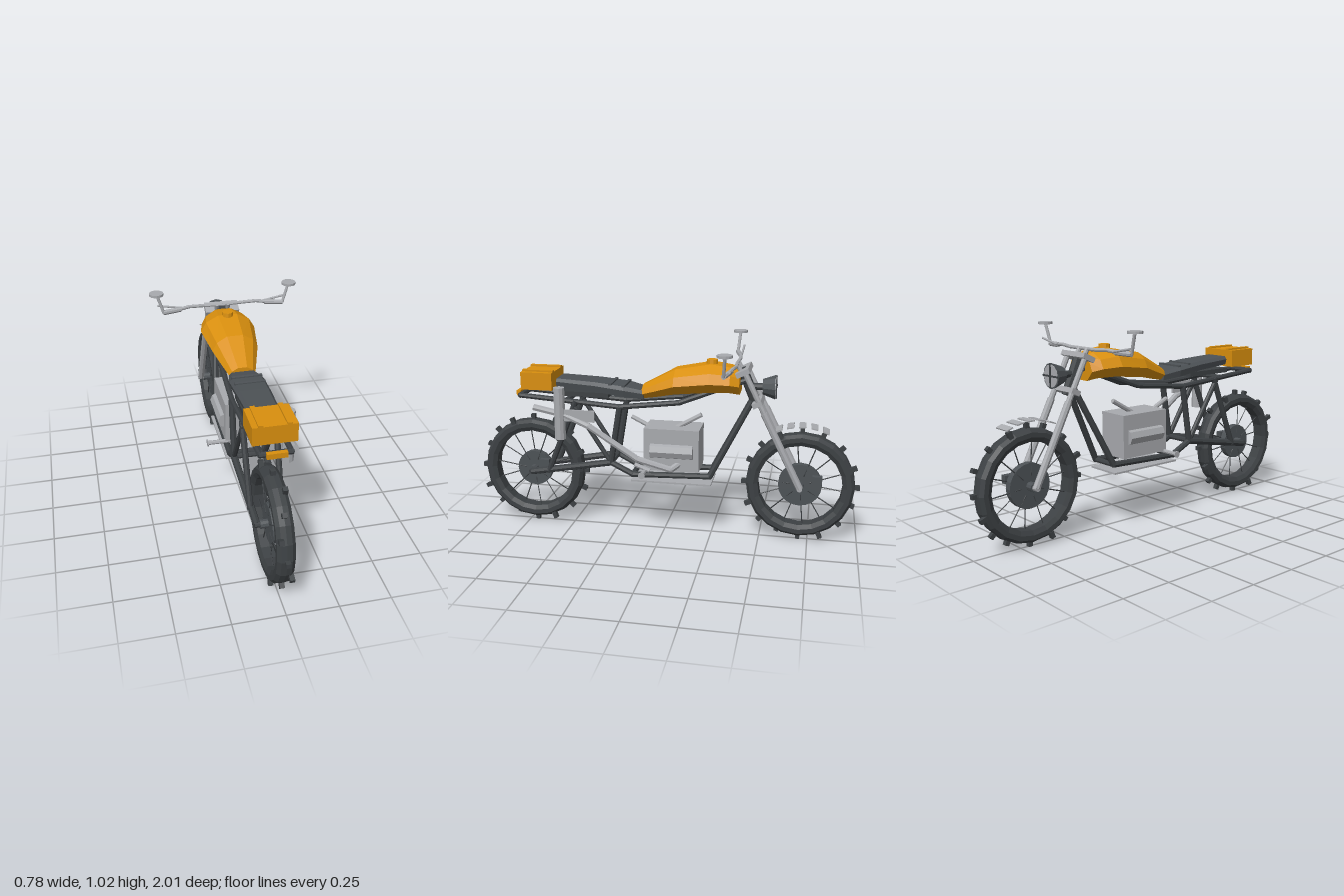
import * as THREE from 'three';

const mat = (name, color, extra = {}) => {
  const m = new THREE.MeshStandardMaterial({ color, flatShading: true, ...extra });
  m.name = name;
  return m;
};
const orange = mat('orange paint', 0xd98f0e);
const metal = mat('grey metal', 0xa8aaae);
const rubber = mat('dark rubber', 0x3d4144);
const dark = mat('dark grey', 0x4d5256);

const V = (p) => new THREE.Vector3(...p);

function add(parent, name, geo, material, pos = [0, 0, 0]) {
  const m = new THREE.Mesh(geo, material);
  m.name = name;
  m.position.set(...pos);
  parent.add(m);
  return m;
}

const box = (parent, name, size, pos, material) =>
  add(parent, name, new THREE.BoxGeometry(...size), material, pos);

// Straight bar between two points, optionally tapered
function rod(parent, name, a, b, r, material, sides = 8, r2 = r) {
  const A = V(a), B = V(b), d = B.clone().sub(A);
  const m = add(parent, name, new THREE.CylinderGeometry(r2, r, d.length(), sides), material);
  m.position.copy(A).add(B).multiplyScalar(0.5);
  m.quaternion.setFromUnitVectors(new THREE.Vector3(0, 1, 0), d.normalize());
  return m;
}

// Chain of bars with rounded joints
function path(parent, name, pts, r, material) {
  const g = new THREE.Group();
  g.name = name;
  parent.add(g);
  pts.forEach((p, i) => {
    if (i === 0) return;
    rod(g, name + 'Bar', pts[i - 1], p, r, material);
    if (i < pts.length - 1) add(g, name + 'Joint', new THREE.SphereGeometry(r, 8, 6), material, p);
  });
}

// The same chain on both sides
const pair = (parent, name, pts, r, material) => {
  for (const s of [1, -1]) path(parent, name, pts.map(([x, y, z]) => [s * x, y, z]), r, material);
};

// Body through stations [z, halfWidth, bottom, top] with a shared half profile
function loft(stations, profile) {
  const full = [...profile, ...profile.slice().reverse().map(([x, y]) => [-x, y])];
  const rings = stations.map(([z, w, lo, hi]) => full.map(([x, y]) => [x * w, lo + (hi - lo) * y, z]));
  const pos = [], n = full.length, last = rings.length - 1;
  const tri = (...p) => p.forEach((q) => pos.push(...q));
  for (let i = 0; i < last; i++)
    for (let j = 0; j < n; j++) {
      const k = (j + 1) % n;
      tri(rings[i][j], rings[i][k], rings[i + 1][k]);
      tri(rings[i][j], rings[i + 1][k], rings[i + 1][j]);
    }
  for (let j = 1; j < n - 1; j++) {
    tri(rings[last][0], rings[last][j], rings[last][j + 1]);
    tri(rings[0][0], rings[0][j + 1], rings[0][j]);
  }
  const g = new THREE.BufferGeometry();
  g.setAttribute('position', new THREE.Float32BufferAttribute(pos, 3));
  g.computeVertexNormals();
  return g;
}

// Wheel lying across x: tyre, tread blocks, hub and spokes
function wheel(parent, name, z, hubR) {
  const g = new THREE.Group();
  g.name = name;
  g.position.set(0, 0.3, z);
  parent.add(g);
  const profile = [[0.213, -0.03], [0.235, -0.042], [0.258, -0.042], [0.273, -0.025], [0.276, 0],
    [0.273, 0.025], [0.258, 0.042], [0.235, 0.042], [0.213, 0.03], [0.213, -0.03]];
  const tyre = new THREE.LatheGeometry(profile.map((p) => new THREE.Vector2(...p)), 20);
  add(g, 'tyre', tyre.rotateZ(Math.PI / 2), rubber);
  for (let i = 0; i < 16; i++) {
    const a = (i / 16) * Math.PI * 2;
    const knob = box(g, 'treadBlock', [0.023, 0.036, 0.022],
      [[0, 0.027, 0, -0.027][i % 4], Math.cos(a) * 0.28, Math.sin(a) * 0.28], rubber);
    knob.rotation.x = a;
  }
  add(g, 'hub', new THREE.CylinderGeometry(0.022, 0.022, 0.11, 10).rotateZ(Math.PI / 2), dark);
  add(g, 'brakeDisc', new THREE.CylinderGeometry(hubR, hubR, 0.035, 20).rotateZ(Math.PI / 2), dark);
  for (let i = 0; i < 14; i++) {
    const a = (i / 14) * Math.PI * 2 + 0.1, s = i % 2 ? 1 : -1;
    rod(g, 'spoke', [s * 0.018, Math.cos(a) * 0.05, Math.sin(a) * 0.05],
      [s * 0.006, Math.cos(a) * 0.22, Math.sin(a) * 0.22], 0.003, rubber, 4);
  }
}

export function createModel() {
  const bike = new THREE.Group();
  bike.name = 'motorcycle';

  wheel(bike, 'rearWheel', 0.71, 0.095);
  wheel(bike, 'frontWheel', -0.7, 0.11);
  box(bike, 'frontCaliper', [0.03, 0.04, 0.05], [0.035, 0.34, -0.785], dark);
  box(bike, 'rearCaliper', [0.03, 0.04, 0.05], [0.035, 0.34, 0.645], dark);

  // Tank, cap and seat
  add(bike, 'fuelTank', loft([[-0.385, 0.09, 0.765, 0.882], [-0.34, 0.12, 0.775, 0.898],
    [-0.24, 0.142, 0.775, 0.912], [-0.06, 0.117, 0.755, 0.878], [0.03, 0.09, 0.735, 0.83],
    [0.11, 0.065, 0.72, 0.787]], [[0.55, 0], [1, 0.4], [0.8, 0.75], [0.35, 1]]), orange);
  add(bike, 'tankCap', new THREE.CylinderGeometry(0.027, 0.03, 0.026, 10), orange, [0, 0.916, -0.24]);
  add(bike, 'seat', loft([[0.1, 0.065, 0.72, 0.764], [0.2, 0.086, 0.732, 0.785],
    [0.35, 0.082, 0.752, 0.8], [0.555, 0.074, 0.766, 0.81]], [[0.9, 0], [1, 0.65], [0.82, 1]]), dark);
  for (const [z, y] of [[0.2, 0.787], [0.27, 0.793]]) box(bike, 'seatStrap', [0.15, 0.01, 0.016], [0, y, z], dark);

  // Luggage box and tail light
  box(bike, 'luggageBox', [0.204, 0.09, 0.165], [0, 0.798, 0.652], orange);
  for (const s of [1, -1]) box(bike, 'boxStrap', [0.022, 0.009, 0.165], [s * 0.064, 0.847, 0.652], orange);
  box(bike, 'tailLight', [0.094, 0.026, 0.022], [0, 0.72, 0.77], orange);

  // Frame tubes
  pair(bike, 'upperRail', [[0.07, 0.715, 0.755], [0.078, 0.68, 0.22], [0.07, 0.715, -0.085],
    [0.05, 0.785, -0.27], [0.015, 0.83, -0.41]], 0.014, rubber);
  pair(bike, 'lowerCradle', [[0.078, 0.68, 0.22], [0.078, 0.38, 0.27], [0.075, 0.322, 0.155],
    [0.072, 0.335, -0.245], [0.025, 0.73, -0.445]], 0.016, rubber);
  pair(bike, 'swingArm', [[0.068, 0.298, 0.71], [0.078, 0.38, 0.27]], 0.018, rubber);
  pair(bike, 'rearStrut', [[0.075, 0.31, 0.61], [0.08, 0.7, 0.45]], 0.015, rubber);
  pair(bike, 'rearBrace', [[0.078, 0.38, 0.27], [0.08, 0.69, 0.47]], 0.013, rubber);
  for (const [y, z] of [[0.715, 0.75], [0.7, 0.5], [0.38, 0.27], [0.322, 0.155], [0.335, -0.245]])
    rod(bike, 'crossTube', [-0.078, y, z], [0.078, y, z], 0.014, rubber);
  rod(bike, 'rearAxle', [-0.08, 0.3, 0.71], [0.08, 0.3, 0.71], 0.014, rubber);
  box(bike, 'seatPan', [0.15, 0.024, 0.28], [0, 0.735, 0.42], rubber);
  rod(bike, 'headTube', [0, 0.89, -0.39], [0, 0.7, -0.47], 0.026, rubber);

  // Engine with side covers, intake pipes and skid plate
  box(bike, 'engineBlock', [0.17, 0.22, 0.285], [0, 0.465, -0.047], metal);
  for (const s of [1, -1])
    add(bike, 'sideCover', new THREE.CylinderGeometry(0.042, 0.042, 0.22, 8).rotateX(Math.PI / 2), metal,
      [s * 0.073, 0.46, -0.05]);
  rod(bike, 'intake', [0, 0.565, 0.08], [0, 0.612, 0.175], 0.012, metal);
  rod(bike, 'frontPipe', [0, 0.565, -0.06], [0, 0.64, -0.19], 0.012, metal);
  box(bike, 'skidPlate', [0.19, 0.009, 0.415], [0, 0.293, -0.047], metal);

  // Exhaust and upright canister on one side
  path(bike, 'exhaust', [[0.06, 0.4, -0.1], [0.105, 0.37, -0.05], [0.12, 0.42, 0.12], [0.132, 0.585, 0.37],
    [0.12, 0.635, 0.5], [0.113, 0.665, 0.665]], 0.017, metal);
  add(bike, 'canister', new THREE.CylinderGeometry(0.029, 0.029, 0.27, 10), metal, [0.121, 0.642, 0.525]);
  box(bike, 'canisterBracket', [0.012, 0.06, 0.16], [0.128, 0.635, 0.42], metal);
  rod(bike, 'kickLever', [0.1, 0.385, 0.14], [0.1, 0.355, 0.06], 0.012, metal);

  // Foot pegs
  rod(bike, 'footPegBar', [-0.178, 0.353, 0.087], [0.178, 0.353, 0.087], 0.011, metal);
  for (const s of [1, -1]) rod(bike, 'pegEnd', [s * 0.174, 0.353, 0.087], [s * 0.18, 0.353, 0.087], 0.018, metal);

  // Fork and clamps
  pair(bike, 'forkUpper', [[0.07, 0.89, -0.405], [0.07, 0.6, -0.55]], 0.014, metal);
  pair(bike, 'forkLower', [[0.07, 0.68, -0.51], [0.07, 0.3, -0.7]], 0.018, metal);
  rod(bike, 'frontAxle', [-0.085, 0.3, -0.7], [0.085, 0.3, -0.7], 0.014, metal);
  const clampTilt = 0.45;
  box(bike, 'upperClamp', [0.18, 0.025, 0.07], [0, 0.88, -0.4], metal).rotation.x = clampTilt;
  box(bike, 'lowerClamp', [0.17, 0.025, 0.05], [0, 0.725, -0.475], metal).rotation.x = clampTilt;
  for (const s of [1, -1]) rod(bike, 'barRiser', [s * 0.03, 0.875, -0.39], [s * 0.03, 0.918, -0.365], 0.012, metal);

  // Handlebar, grips, levers and round mirrors
  pair(bike, 'handlebar', [[0, 0.915, -0.365], [0.1, 0.916, -0.37], [0.18, 0.921, -0.362],
    [0.24, 0.915, -0.35], [0.31, 0.911, -0.335]], 0.009, metal);
  pair(bike, 'grip', [[0.225, 0.914, -0.354], [0.32, 0.912, -0.335]], 0.013, metal);
  pair(bike, 'lever', [[0.22, 0.917, -0.365], [0.345, 0.94, -0.365]], 0.006, metal);
  pair(bike, 'mirrorStem', [[0.318, 0.91, -0.335], [0.35, 1.012, -0.343]], 0.008, metal);
  for (const s of [1, -1])
    add(bike, 'mirror', new THREE.CylinderGeometry(0.037, 0.037, 0.012, 14), metal, [s * 0.352, 1.015, -0.343]);

  // Headlight facing forward with a crossed grille
  rod(bike, 'headlightShell', [0, 0.8, -0.495], [0, 0.8, -0.557], 0.04, dark, 12, 0.062);
  rod(bike, 'headlightStay', [0, 0.8, -0.43], [0, 0.8, -0.5], 0.018, rubber);
  rod(bike, 'lens', [0, 0.8, -0.555], [0, 0.8, -0.56], 0.055, metal, 12);
  box(bike, 'grilleUpright', [0.008, 0.116, 0.006], [0, 0.8, -0.562], rubber);
  box(bike, 'grilleCrossbar', [0.116, 0.008, 0.006], [0, 0.8, -0.562], rubber);

  // Slatted front mudguard
  for (let i = 0; i < 5; i++) {
    const a = (i - 2) * 0.19;
    const slat = box(bike, 'mudguardSlat', [0.095, 0.006, 0.034],
      [0, 0.3 + Math.cos(a) * 0.312, -0.7 + Math.sin(a) * 0.312], metal);
    slat.rotation.x = a;
  }
  return bike;
}
